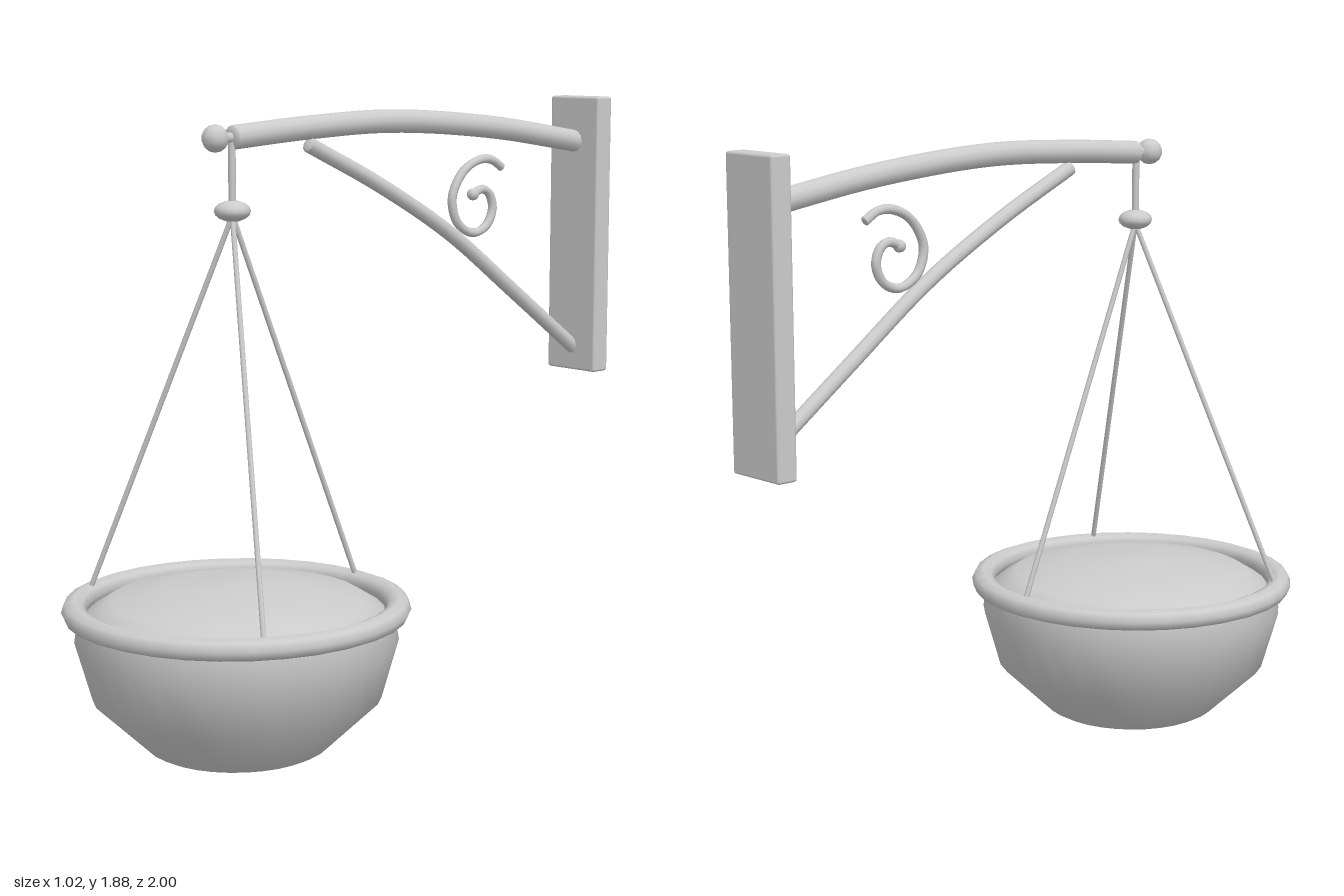
import * as THREE from 'three';
import { RoundedBoxGeometry } from 'three/addons/geometries/RoundedBoxGeometry.js';

const material = new THREE.MeshStandardMaterial({ color: 0xcccccc, side: THREE.DoubleSide });

function add(parent, name, geometry, x = 0, y = 0, z = 0) {
  const mesh = new THREE.Mesh(geometry, material);
  mesh.name = name;
  mesh.position.set(x, y, z);
  parent.add(mesh);
  return mesh;
}

// Round bar through [z, y] points in the centre plane, with shallow domed ends
function bar(parent, name, points, radius, segments, sides) {
  const group = new THREE.Group();
  group.name = name;
  const curve = new THREE.CatmullRomCurve3(points.map(([z, y]) => new THREE.Vector3(0, y, z)));
  add(group, name + 'Tube', new THREE.TubeGeometry(curve, segments, radius, sides));
  for (const t of [0, 1]) {
    const end = curve.getPoint(t);
    const cap = add(group, name + 'Cap', new THREE.SphereGeometry(radius, sides, 6), 0, end.y, end.z);
    cap.lookAt(end.clone().add(curve.getTangent(t)));
    cap.scale.z = 0.3;
  }
  parent.add(group);
}

// Straight thin rod between two points
function rod(parent, name, a, b, radius) {
  const dir = b.clone().sub(a);
  const mesh = add(parent, name, new THREE.CylinderGeometry(radius, radius, dir.length(), 8));
  mesh.position.copy(a).add(b).multiplyScalar(0.5);
  mesh.quaternion.setFromUnitVectors(new THREE.Vector3(0, 1, 0), dir.normalize());
}

function lathe(parent, name, profile, z) {
  const points = profile.map(([r, y]) => new THREE.Vector2(r, y));
  return add(parent, name, new THREE.LatheGeometry(points, 32), 0, 0, z);
}

export function createModel() {
  const model = new THREE.Group();
  model.name = 'hangingBasket';
  const potZ = 0.485;

  // Wall bracket
  add(model, 'wallPlate', new RoundedBoxGeometry(0.205, 0.89, 0.067, 1, 0.008), 0, 1.435, -0.9665);
  bar(model, 'arm', [[-0.95, 1.735], [-0.555, 1.793], [-0.13, 1.824], [0.2, 1.815], [0.483, 1.796]], 0.035, 24, 12);
  bar(model, 'brace', [[-0.95, 1.06], [-0.65, 1.277], [-0.37, 1.475], [-0.08, 1.635], [0.2, 1.765]], 0.023, 20, 10);
  bar(model, 'scroll', [
    [-0.6, 1.667], [-0.555, 1.692], [-0.5, 1.693], [-0.43, 1.658], [-0.385, 1.58], [-0.408, 1.503],
    [-0.475, 1.467], [-0.535, 1.487], [-0.562, 1.54], [-0.545, 1.588], [-0.512, 1.602], [-0.475, 1.587],
  ], 0.014, 48, 8);
  add(model, 'scrollTip', new THREE.SphereGeometry(0.019, 8, 6), 0, 1.587, -0.475);
  add(model, 'finial', new THREE.SphereGeometry(0.04, 10, 7), 0, 1.795, 0.548);
  rod(model, 'finialNeck', new THREE.Vector3(0, 1.796, 0.48), new THREE.Vector3(0, 1.795, 0.54), 0.015);

  // Drop rod and the knob that gathers the wires
  rod(model, 'dropRod', new THREE.Vector3(0, 1.59, potZ + 0.003), new THREE.Vector3(0, 1.79, potZ + 0.003), 0.011);
  const knob = add(model, 'knob', new THREE.SphereGeometry(0.053, 14, 8), 0, 1.588, potZ + 0.003);
  knob.scale.y = 0.58;

  // Three wires spaced evenly round the rim
  for (let i = 0; i < 3; i++) {
    const angle = Math.PI + (i * 2 * Math.PI) / 3;
    const foot = new THREE.Vector3(Math.sin(angle) * 0.465, 0.455, potZ + Math.cos(angle) * 0.465);
    rod(model, 'wire', new THREE.Vector3(0, 1.575, potZ + 0.003), foot, 0.008);
  }

  // Bowl, rolled rim and domed soil
  lathe(model, 'bowl', [[0.245, 0.005], [0.27, 0.018], [0.425, 0.165], [0.475, 0.34], [0.462, 0.42]], potZ);
  lathe(model, 'bowlBase', [[0, 0], [0.21, 0], [0.245, 0.005]], potZ);
  const rim = add(model, 'rim', new THREE.TorusGeometry(0.475, 0.036, 8, 32), 0, 0.431, potZ);
  rim.rotation.x = Math.PI / 2;
  rim.scale.z = 0.92;
  lathe(model, 'soil', [[0.445, 0.38], [0.435, 0.42], [0.37, 0.46], [0.21, 0.492], [0, 0.506]], potZ);

  return model;
}
